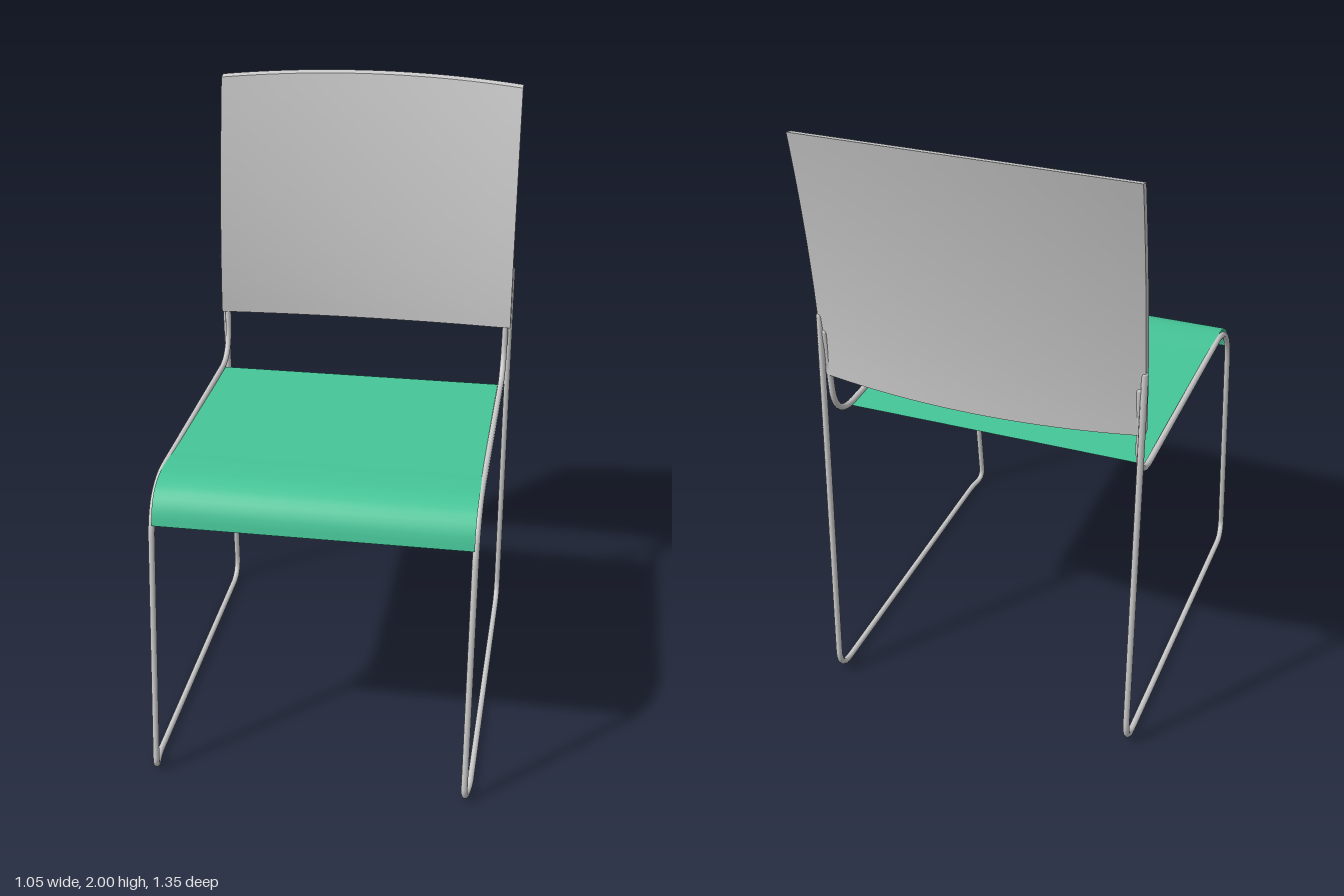
import * as THREE from 'three';

const V = (x, y, z) => new THREE.Vector3(x, y, z);
const WIRE = 0.0105;

// Polyline whose inner corners are rounded; each entry is [point, corner radius]
function roundedPath(entries) {
  const path = new THREE.CurvePath();
  let from = entries[0][0];
  for (let i = 1; i < entries.length - 1; i++) {
    const [p, r] = entries[i];
    const a = p.clone().add(entries[i - 1][0].clone().sub(p).setLength(r));
    const b = p.clone().add(entries[i + 1][0].clone().sub(p).setLength(r));
    path.add(new THREE.LineCurve3(from, a));
    path.add(new THREE.QuadraticBezierCurve3(a, p, b));
    from = b;
  }
  path.add(new THREE.LineCurve3(from, entries[entries.length - 1][0]));
  return path;
}

// One bent wire: back upright, seat rail, front leg, floor runner, rear leg
function sideFrame(side, material) {
  const group = new THREE.Group();
  group.name = side > 0 ? 'leftFrame' : 'rightFrame';
  const top = V(side * 0.501, 1.3, -0.531);
  const end = V(side * 0.514, 1.355, -0.531);
  const path = roundedPath([
    [top, 0],
    [V(side * 0.499, 0.976, -0.505), 0.12],
    [V(side * 0.499, 0.976, 0.56), 0.17],
    [V(side * 0.499, WIRE, 0.67), 0.045],
    [V(side * 0.511, WIRE, 0.59), 0.03],
    [V(side * 0.511, WIRE, -0.587), 0.08],
    [end, 0],
  ]);
  const wire = new THREE.Mesh(new THREE.TubeGeometry(path, 260, WIRE, 10), material);
  wire.name = 'wire';
  group.add(wire);
  for (const p of [top, end]) {
    const cap = new THREE.Mesh(new THREE.SphereGeometry(WIRE, 10, 6), material);
    cap.position.copy(p);
    cap.name = 'wireEnd';
    group.add(cap);
  }
  return group;
}

// Thin sheet rolled over the front edge
function seat(material) {
  const rows = 48;
  const profile = new THREE.CatmullRomCurve3([
    V(0, 0.86, 0.583), V(0, 0.91, 0.57), V(0, 0.955, 0.535), V(0, 0.979, 0.48),
    V(0, 0.985, 0.41), V(0, 0.983, 0.3), V(0, 0.979, 0), V(0, 0.972, -0.41),
  ], false, 'centripetal');
  const geo = new THREE.PlaneGeometry(0.992, 1, 12, rows);
  const pos = geo.attributes.position;
  for (let i = 0; i < pos.count; i++) {
    const p = profile.getPointAt(Math.min(1, Math.max(0, pos.getY(i) + 0.5)));
    pos.setXYZ(i, pos.getX(i), p.y, p.z);
  }
  geo.computeVertexNormals();
  const mesh = new THREE.Mesh(geo, material);
  mesh.name = 'seat';
  return mesh;
}

// Panel curved around the sitter and leaning further back towards the top
function backrest(material) {
  const geo = new THREE.BoxGeometry(2, 1, 1, 24, 18, 1);
  const pos = geo.attributes.position;
  for (let i = 0; i < pos.count; i++) {
    const u = pos.getX(i), t = pos.getY(i) + 0.5, back = 0.5 - pos.getZ(i);
    const bow = 1 - u * u;
    const y = THREE.MathUtils.lerp(1.15 - 0.01 * bow, 1.98 + 0.02 * bow, t);
    const z = -0.5 - 0.102 * Math.pow(t, 1.7) - 0.045 * bow - 0.027 * back;
    pos.setXYZ(i, u * 0.518, y - 0.006 * (1 - back) * t, z);
  }
  geo.computeVertexNormals();
  const mesh = new THREE.Mesh(geo, material);
  mesh.name = 'backrest';
  return mesh;
}

export function createModel() {
  const grey = new THREE.MeshStandardMaterial({ color: 0xcccccc });
  const green = new THREE.MeshStandardMaterial({ color: 0x46c698, side: THREE.DoubleSide });
  const chair = new THREE.Group();
  chair.name = 'chair';
  chair.add(sideFrame(1, grey), sideFrame(-1, grey), seat(green), backrest(grey));
  return chair;
}
